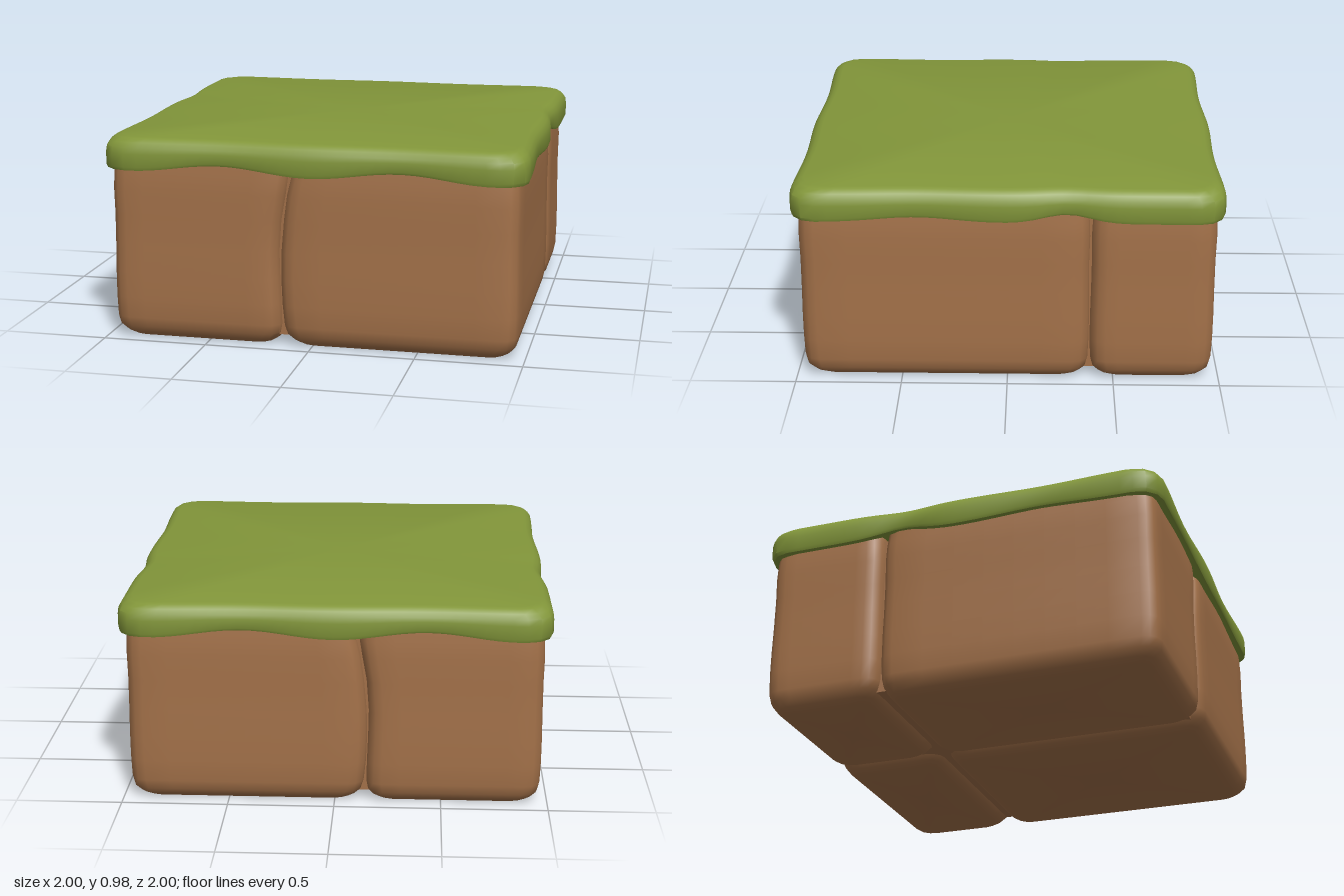
import * as THREE from 'three';
import { toCreasedNormals } from 'three/addons/utils/BufferGeometryUtils.js';

const grass = new THREE.MeshStandardMaterial({ color: 0x82963a });
grass.name = 'grassGreen';
const dirt = new THREE.MeshStandardMaterial({ color: 0xa37149 });
dirt.name = 'dirtBrown';

// Rounded rectangle, counter-clockwise in (x, -z), with subdivided edges
function outline(x0, x1, z0, z1, r, edgeSteps, cornerSteps = 3) {
  const corners = [
    [x1 - r, z1 - r, 0], [x1 - r, z0 + r, 1], [x0 + r, z0 + r, 2], [x0 + r, z1 - r, 3],
  ];
  const points = [];
  corners.forEach(([cx, cz, quarter], i) => {
    for (let k = 0; k <= cornerSteps; k++) {
      const a = (quarter - 1 + k / cornerSteps) * Math.PI / 2;
      points.push([cx + r * Math.cos(a), cz - r * Math.sin(a)]);
    }
    const [nx, nz, nq] = corners[(i + 1) % 4];
    const end = (nq - 1) * Math.PI / 2;
    const from = points[points.length - 1];
    const to = [nx + r * Math.cos(end), nz - r * Math.sin(end)];
    for (let k = 1; k < edgeSteps; k++) {
      const t = k / edgeSteps;
      points.push([from[0] + (to[0] - from[0]) * t, from[1] + (to[1] - from[1]) * t]);
    }
  });
  return points;
}

// Skin stacked rings of [x, y, z] from bottom to top and cap both ends
function loft(rings, crease) {
  const n = rings[0].length, position = rings.flat(2), index = [];
  for (let j = 0; j < rings.length - 1; j++) {
    for (let i = 0; i < n; i++) {
      const a = j * n + i, b = j * n + (i + 1) % n;
      index.push(a, b, b + n, a, b + n, a + n);
    }
  }
  for (const j of [0, rings.length - 1]) {
    const c = position.length / 3, sum = [0, 0, 0];
    rings[j].forEach((p) => p.forEach((v, k) => { sum[k] += v / n; }));
    position.push(...sum);
    for (let i = 0; i < n; i++) {
      const a = j * n + i, b = j * n + (i + 1) % n;
      if (j === 0) index.push(c, b, a); else index.push(c, a, b);
    }
  }
  const geo = new THREE.BufferGeometry();
  geo.setAttribute('position', new THREE.Float32BufferAttribute(position, 3));
  geo.setIndex(index);
  return toCreasedNormals(geo, crease);
}

// Soft wave along the turf edge, 0 at the bulges and 1 at the hollows
const frontWave = (x) => 0.5 - 0.5 * Math.cos(2 * Math.PI * x / 0.85);
const sideWave = (z) => Math.exp(-(((z + 0.27) / 0.15) ** 2)) + 0.6 * Math.exp(-(((z - 0.42) / 0.25) ** 2));

// Turf slab with a drooping wavy rim
function makeTurf() {
  // inset, height, how far the ring follows the lower wave
  const profile = [
    [0.08, 0.85, 1], [0.03, 0.822, 1], [0.006, 0.822, 1], [0, 0.838, 0.85],
    [0, 0.9, 0.3], [0.004, 0.93, 0], [0.018, 0.953, 0], [0.04, 0.97, 0], [0.06, 0.975, 0],
  ];
  const rings = profile.map(([inset, y, follow]) => {
    const s = 1 - inset;
    return outline(-s, s, -s, s, 0.12, 28).map(([x, z]) => {
      const onFront = Math.abs(z) > Math.abs(x);
      const fade = Math.min(1, Math.max(0, (0.95 - Math.min(Math.abs(x), Math.abs(z))) / 0.12));
      const w = (onFront ? frontWave(x) : sideWave(z)) * fade;
      const px = onFront ? x : x - Math.sign(x) * 0.022 * w;
      const pz = onFront ? z - Math.sign(z) * 0.013 * w : z;
      return [px, y + 0.036 * w * follow, pz];
    });
  });
  return loft(rings, 0.7);
}

// The cross seam leans slightly as it rises
const seamX = -0.135, seamZ = -0.385;
const lean = (y) => 0.035 * Math.max(0, (y - 0.4) / 0.45) ** 2 - 0.02 * Math.sin(Math.PI * Math.min(1, y / 0.8));

// Dirt block with rounded edges and slightly bowed faces
function makeBlock(x0, x1, z0, z1) {
  const profile = [
    [0.065, 0], [0.036, 0.022], [0.012, 0.055], [0.003, 0.1],
    [0, 0.2], [0, 0.32], [0.002, 0.45], [0.003, 0.6], [0.001, 0.72], [0.004, 0.8], [0.012, 0.88],
  ];
  const rings = profile.map(([inset, y]) =>
    outline(x0 + inset, x1 - inset, z0 + inset, z1 - inset, 0.075, 8).map(([x, z]) => {
      const shift = Math.max(0, 1 - Math.abs(x - seamX) / 0.6) * lean(y);
      return [x + shift, y, z];
    }));
  return loft(rings, 0.75);
}

export function createModel() {
  const group = new THREE.Group();
  group.name = 'grassBlock';
  const add = (name, geo, mat) => {
    const mesh = new THREE.Mesh(geo, mat);
    mesh.name = name;
    group.add(mesh);
    return mesh;
  };

  add('turf', makeTurf(), grass);

  const side = 0.966;
  for (const [xName, x0, x1] of [['Right', -side, seamX], ['Left', seamX, side]]) {
    for (const [zName, z0, z1] of [['back', -side, seamZ], ['front', seamZ, side]]) {
      add(`${zName}${xName}DirtBlock`, makeBlock(x0, x1, z0, z1), dirt);
    }
  }

  // Core closing the bottom of the seams
  add('dirtCore', new THREE.BoxGeometry(1.8, 0.8, 1.8), dirt).position.y = 0.445;
  return group;
}
